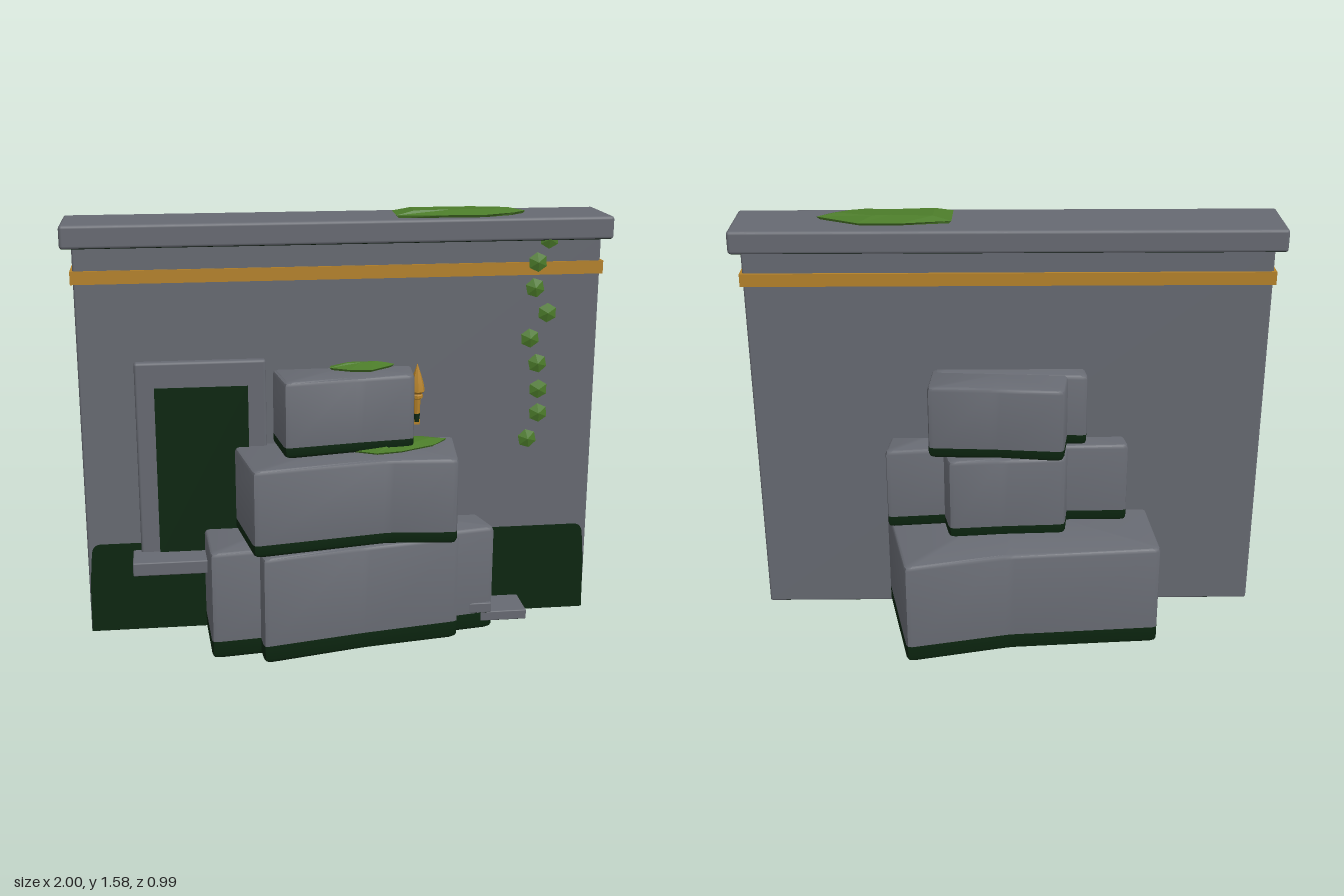
import * as THREE from 'three';
import { toCreasedNormals } from 'three/addons/utils/BufferGeometryUtils.js';
import { RoundedBoxGeometry } from 'three/addons/geometries/RoundedBoxGeometry.js';

const material = (name, color) => {
  const m = new THREE.MeshStandardMaterial({ color });
  m.name = name;
  return m;
};

// Corners [x, z] run counter-clockwise seen from above; each is cut into a small round.
function roundCorners(pts, r) {
  const out = [];
  pts.forEach((p, i) => {
    const toward = (q) => {
      const d = Math.hypot(q[0] - p[0], q[1] - p[1]);
      return [p[0] + (q[0] - p[0]) * r / d, p[1] + (q[1] - p[1]) * r / d];
    };
    const a = toward(pts[(i + pts.length - 1) % pts.length]);
    const b = toward(pts[(i + 1) % pts.length]);
    out.push(a, [(a[0] + b[0] + 2 * p[0]) / 4, (a[1] + b[1] + 2 * p[1]) / 4], b);
  });
  return out;
}

// Stacks copies of an outline; each level is [y, inset toward the middle].
function loft(pts, levels, capBottom, capTop, crease = 0.6) {
  const n = pts.length;
  const cx = pts.reduce((s, p) => s + p[0], 0) / n;
  const cz = pts.reduce((s, p) => s + p[1], 0) / n;
  const rings = levels.map(([y, inset]) => pts.map(([x, z]) => {
    const k = 1 - inset / Math.hypot(x - cx, z - cz);
    return [cx + (x - cx) * k, y, cz + (z - cz) * k];
  }));
  const pos = [];
  const tri = (a, b, c) => pos.push(...a, ...b, ...c);
  const last = rings.length - 1;
  for (let i = 0; i < n; i++) {
    const j = (i + 1) % n;
    for (let l = 0; l < last; l++) {
      const lo = rings[l], hi = rings[l + 1];
      tri(lo[i], lo[j], hi[j]);
      tri(lo[i], hi[j], hi[i]);
    }
    if (capBottom) tri([cx, levels[0][0], cz], rings[0][j], rings[0][i]);
    if (capTop) tri([cx, levels[last][0], cz], rings[last][i], rings[last][j]);
  }
  const g = new THREE.BufferGeometry();
  g.setAttribute('position', new THREE.Float32BufferAttribute(pos, 3));
  return toCreasedNormals(g, crease);
}

export function createModel() {
  const group = new THREE.Group();
  const stone = material('grey stone', 0x676a72);
  const shade = material('dark green', 0x0c2610);
  const moss = material('moss green', 0x4c7c2a);
  const gold = material('gold', 0xb5822a);
  const stoneFaces = [stone, stone, stone, shade, stone, stone];

  const add = (name, geo, mat, x = 0, y = 0, z = 0) => {
    const m = new THREE.Mesh(geo, mat);
    m.name = name;
    m.position.set(x, y, z);
    group.add(m);
    return m;
  };
  // Box given by its limits, rounded when r > 0
  const box = (name, mat, x0, x1, y0, y1, z0, z1, r = 0) => add(name,
    r ? new RoundedBoxGeometry(x1 - x0, y1 - y0, z1 - z0, 2, r)
      : new THREE.BoxGeometry(x1 - x0, y1 - y0, z1 - z0),
    mat, (x0 + x1) / 2, (y0 + y1) / 2, (z0 + z1) / 2);

  // Wall, coping and gold band
  box('wall', stoneFaces, -0.96, 0.96, 0, 1.48, -0.07, 0.15, 0.008);
  box('coping', stoneFaces, -1, 1, 1.47, 1.555, -0.103, 0.175, 0.012);
  box('goldBand', gold, -0.97, 0.97, 1.342, 1.39, -0.08, 0.156);

  // Dark skirting painted on the wall's front
  const skirt = new THREE.Shape();
  skirt.moveTo(-0.958, 0.005);
  skirt.lineTo(0.958, 0.005);
  skirt.lineTo(0.955, 0.2);
  skirt.lineTo(0.945, 0.32);
  skirt.quadraticCurveTo(0.94, 0.355, 0.91, 0.355);
  skirt.lineTo(-0.91, 0.355);
  skirt.quadraticCurveTo(-0.94, 0.355, -0.945, 0.32);
  skirt.lineTo(-0.955, 0.2);
  add('skirting', new THREE.ExtrudeGeometry(skirt, { depth: 0.004, bevelEnabled: false }), shade, 0, 0, 0.149);

  // Doorway with its sill
  box('doorFrame', stoneFaces, -0.76, -0.283, 0.3, 1.055, 0.12, 0.176, 0.01);
  box('doorOpening', shade, -0.69, -0.35, 0.31, 0.96, 0.175, 0.183);
  box('doorSill', stoneFaces, -0.79, -0.48, 0.275, 0.327, 0.13, 0.285, 0.005);

  // Low steps at the other side
  box('lowerStep', stoneFaces, 0.5, 0.695, 0.03, 0.068, 0.13, 0.298, 0.004);
  box('upperStep', stoneFaces, 0.42, 0.555, 0.068, 0.108, 0.13, 0.306, 0.004);

  // Rough boulders in three tiers, each with a dark foot
  const boulder = (name, y0, y1, foot, pts) => {
    const outline = roundCorners(pts, 0.02);
    const split = y0 + foot;
    add(name + 'Foot', loft(outline, [[y0, 0.015], [y0 + 0.005, 0.005], [y0 + 0.015, 0], [split, 0]], true, false), shade);
    add(name, loft(outline, [[split, 0], [y1 - 0.015, 0], [y1 - 0.005, 0.005], [y1, 0.015]], false, true), stone);
  };
  boulder('lowerBoulder', 0, 0.41, 0.066,
    [[-0.51, 0.435], [0.02, 0.38], [0.565, 0.29], [0.47, -0.08], [0.385, -0.5], [0, -0.417], [-0.565, -0.375], [-0.53, 0.03]]);
  boulder('lowerFrontBoulder', 0, 0.405, 0.066,
    [[-0.325, 0.497], [0.05, 0.42], [0.415, 0.36], [0.36, -0.2], [-0.38, -0.2]]);
  boulder('middleBoulder', 0.405, 0.728, 0.045,
    [[-0.355, 0.48], [0.14, 0.4], [0.39, 0.425], [0.43, 0.1], [0.465, -0.19], [0, -0.15], [-0.455, -0.145]]);
  boulder('middleBackBoulder', 0.4, 0.724, 0.045,
    [[-0.25, 0.1], [0.3, 0.1], [0.225, -0.272], [0.02, -0.255], [-0.21, -0.245]]);
  boulder('upperBoulder', 0.728, 1.01, 0.04,
    [[-0.23, 0.348], [0.05, 0.305], [0.25, 0.282], [0.28, -0.1], [-0.295, -0.14]]);
  boulder('upperBackBoulder', 0.726, 1.008, 0.04,
    [[-0.25, 0.1], [0.27, 0.1], [0.3, -0.235], [0.05, -0.25], [-0.2, -0.275]]);

  // Faceted moss cushions
  const cushion = (name, y, h, pts) => add(name,
    loft(pts, [[y - 0.003, 0.012], [y + h * 0.4, 0], [y + h, 0.07]], true, true, 0.02), moss);
  cushion('copingMoss', 1.555, 0.024,
    [[0.2, 0.125], [0.36, 0.143], [0.53, 0.148], [0.64, 0.1], [0.695, 0.05], [0.54, -0.035], [0.39, -0.04], [0.205, -0.01]]);
  cushion('upperMoss', 1.01, 0.022,
    [[-0.05, 0.18], [0.02, 0.22], [0.1, 0.23], [0.18, 0.17], [0.22, 0.12], [0.1, 0.06], [-0.03, 0.1]]);
  cushion('middleMoss', 0.728, 0.018,
    [[0.01, 0.29], [0.1, 0.34], [0.2, 0.325], [0.33, 0.26], [0.39, 0.19], [0.28, 0.14], [0.05, 0.17]]);

  // Hanging vine of six-sided leaves
  const leaf = new THREE.SphereGeometry(0.037, 6, 2).toNonIndexed();
  leaf.rotateX(Math.PI / 2);
  leaf.scale(1, 1, 0.35);
  leaf.computeVertexNormals();
  [[0.762, 1.475], [0.722, 1.39], [0.715, 1.295], [0.765, 1.2], [0.703, 1.105],
    [0.735, 1.008], [0.742, 0.908], [0.745, 0.815], [0.707, 0.715]].forEach(([x, y], i) => {
    add('vineLeaf', leaf, moss, x, y, 0.16).rotation.z = 0.5 + (i % 3) * 0.12;
  });

  // Torch on a bracket
  box('torchBracket', gold, 0.255, 0.278, 0.808, 0.828, 0.14, 0.238);
  add('torchGrip', new THREE.CylinderGeometry(0.012, 0.012, 0.04, 8), shade, 0.267, 0.838, 0.23);
  const profile = [[0, 0.85], [0.012, 0.85], [0.014, 0.905], [0.022, 0.91], [0.022, 0.92],
    [0.018, 0.925], [0.029, 0.935], [0.024, 0.965], [0.012, 1.005], [0, 1.04]];
  add('torchFlame', toCreasedNormals(new THREE.LatheGeometry(
    profile.map(([r, y]) => new THREE.Vector2(r, y)), 8), 0.4), gold, 0.267, 0, 0.23);

  return group;
}
